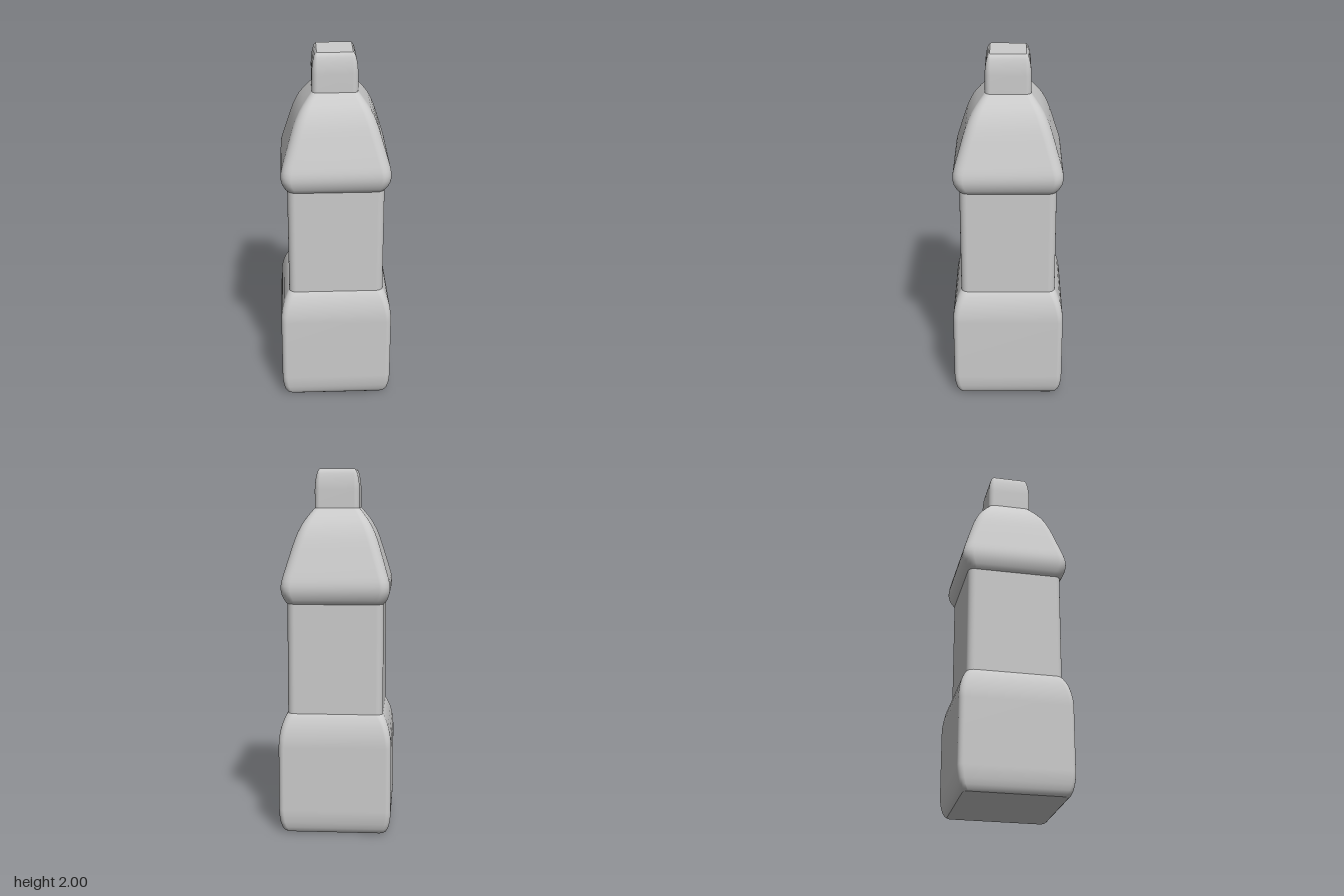
import * as THREE from 'three';

const material = new THREE.MeshStandardMaterial({ color: 0xcccccc });
const CORNER_STEPS = 8;

// Points of a rounded square in the xz plane
function roundedSquare(half, radius) {
  const points = [];
  for (let corner = 0; corner < 4; corner++) {
    const mid = (corner + 0.5) * Math.PI / 2;
    const cx = Math.sign(Math.cos(mid)) * (half - radius);
    const cz = Math.sign(Math.sin(mid)) * (half - radius);
    for (let i = 0; i <= CORNER_STEPS; i++) {
      const a = (corner + i / CORNER_STEPS) * Math.PI / 2;
      points.push([cx + radius * Math.cos(a), cz + radius * Math.sin(a)]);
    }
  }
  return points;
}

// Lofts rounded squares through rows of [y, half width, corner radius], with flat ends
function loft(name, rows) {
  const positions = [], index = [];
  const addRing = ([y, half, radius]) => {
    const start = positions.length / 3;
    for (const [x, z] of roundedSquare(half, radius)) positions.push(x, y, z);
    return start;
  };
  const n = 4 * (CORNER_STEPS + 1);
  rows.forEach(addRing);
  for (let r = 0; r < rows.length - 1; r++) {
    for (let i = 0; i < n; i++) {
      const a = r * n + i, b = r * n + (i + 1) % n;
      index.push(a, a + n, b, b, a + n, b + n);
    }
  }
  for (const top of [false, true]) {
    const row = top ? rows[rows.length - 1] : rows[0];
    const start = addRing(row);
    const center = positions.length / 3;
    positions.push(0, row[0], 0);
    for (let i = 0; i < n; i++) {
      const a = start + i, b = start + (i + 1) % n;
      index.push(center, top ? b : a, top ? a : b);
    }
  }
  const geometry = new THREE.BufferGeometry();
  geometry.setAttribute('position', new THREE.Float32BufferAttribute(positions, 3));
  geometry.setIndex(index);
  geometry.computeVertexNormals();
  const mesh = new THREE.Mesh(geometry, material);
  mesh.name = name;
  return mesh;
}

export function createModel() {
  const group = new THREE.Group();
  group.name = 'bottle';

  // Wide foot with softened bottom and top edges
  group.add(loft('base', [
    [0, 0.275, 0.03], [0.01, 0.286, 0.03], [0.03, 0.296, 0.03], [0.06, 0.304, 0.03],
    [0.1, 0.309, 0.03], [0.13, 0.31, 0.03], [0.49, 0.31, 0.03], [0.53, 0.308, 0.032],
    [0.57, 0.302, 0.034], [0.61, 0.292, 0.036], [0.64, 0.28, 0.038], [0.66, 0.27, 0.04],
    [0.67, 0.262, 0.04],
  ]));

  // Straight grip
  group.add(loft('body', [[0.67, 0.262, 0.04], [1.28, 0.262, 0.04]]));

  // Bulged shoulder narrowing to the neck
  group.add(loft('shoulder', [
    [1.275, 0.262, 0.045], [1.285, 0.271, 0.05], [1.3, 0.281, 0.055], [1.325, 0.291, 0.055],
    [1.35, 0.296, 0.055], [1.375, 0.296, 0.055], [1.4, 0.292, 0.055], [1.43, 0.284, 0.055],
    [1.5, 0.263, 0.055], [1.57, 0.242, 0.055], [1.62, 0.226, 0.055], [1.66, 0.21, 0.052],
    [1.7, 0.19, 0.047], [1.73, 0.17, 0.042], [1.76, 0.147, 0.036], [1.79, 0.122, 0.03],
  ]));

  // Square cap with a softened top
  group.add(loft('cap', [
    [1.785, 0.123, 0.03], [1.89, 0.123, 0.03], [1.92, 0.121, 0.028], [1.95, 0.117, 0.024],
    [1.975, 0.111, 0.018], [1.99, 0.105, 0.012], [2, 0.096, 0.006],
  ]));

  return group;
}
